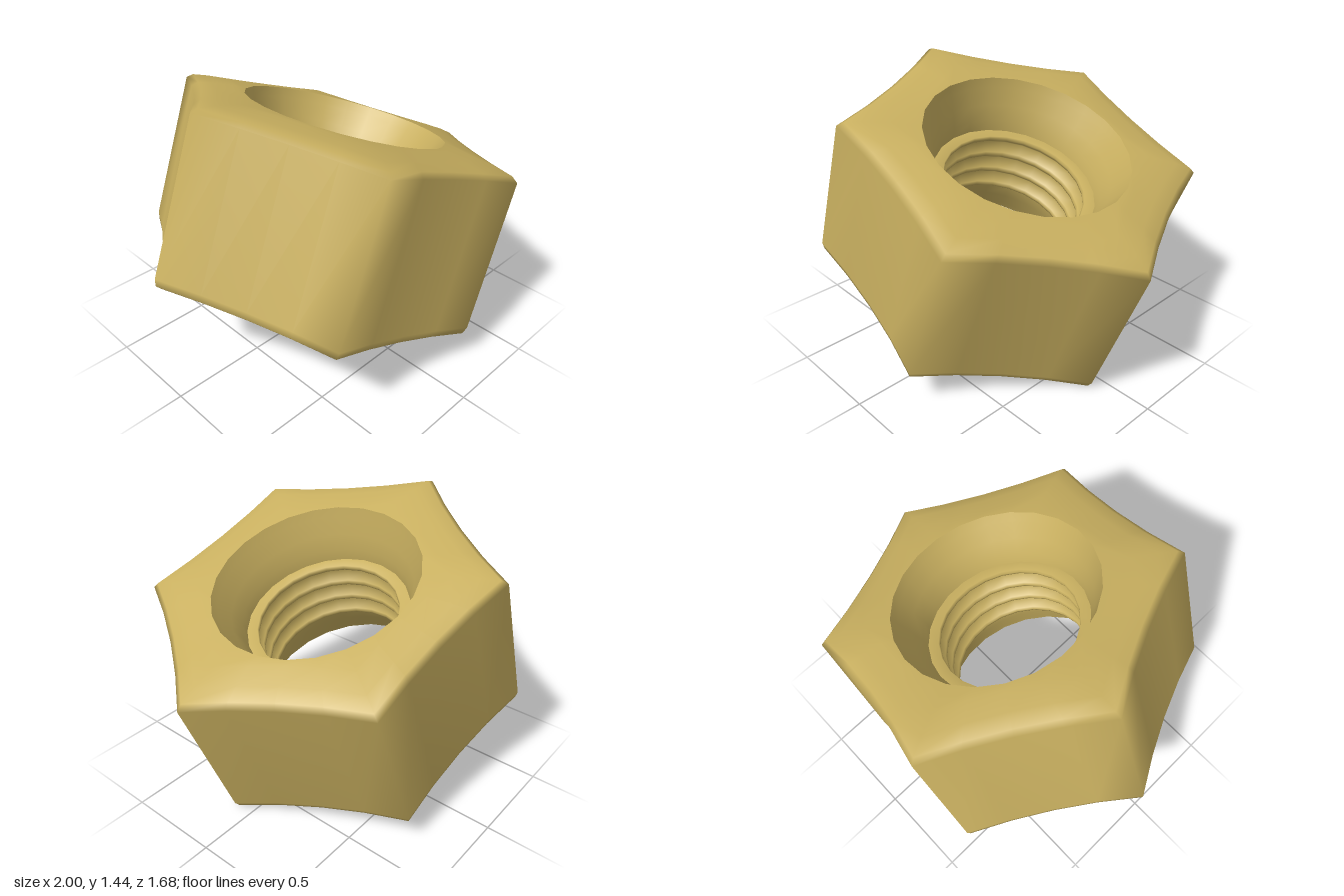
import * as THREE from 'three';

const SEG = 24;               // segments around the nut
const PER_SIDE = SEG / 6;
const CORNER = 0.921;         // centre to corner
const TURN = THREE.MathUtils.degToRad(5.5);
const CENTRE = 0.695;         // mid height along the axis

// point of a slightly hollow-sided hexagon
function hexPoint(j, scale) {
  const side = Math.floor(j / PER_SIDE), t = (j % PER_SIDE) / PER_SIDE;
  const a = TURN + side * Math.PI / 3, b = a + Math.PI / 3, m = (a + b) / 2;
  const pull = 0.03 * 4 * t * (1 - t);
  const x = CORNER * (Math.cos(a) * (1 - t) + Math.cos(b) * t) - pull * Math.cos(m);
  const z = CORNER * (Math.sin(a) * (1 - t) + Math.sin(b) * t) - pull * Math.sin(m);
  return [x * scale, z * scale];
}

function circlePoint(j, radius) {
  const a = TURN + j / SEG * Math.PI * 2;
  return [radius * Math.cos(a), radius * Math.sin(a)];
}

// skin over closed rings [pointFunction, size, height]
function skin(rings) {
  const positions = [], index = [];
  rings.forEach(([point, size, height], i) => {
    for (let j = 0; j < SEG; j++) {
      const [x, z] = point(j, size);
      positions.push(x, height - CENTRE, z);
      if (i === rings.length - 1) continue;
      const a = i * SEG + j, b = i * SEG + (j + 1) % SEG;
      index.push(a, a + SEG, b, b, a + SEG, b + SEG);
    }
  });
  const g = new THREE.BufferGeometry();
  g.setAttribute('position', new THREE.Float32BufferAttribute(positions, 3));
  g.setIndex(index);
  g.computeVertexNormals();
  return g;
}

export function createModel() {
  const model = new THREE.Group();
  model.name = 'hexNut';
  const brass = new THREE.MeshStandardMaterial({ color: 0xc9b060 });
  const add = (name, rings) => {
    const mesh = new THREE.Mesh(skin(rings), brass);
    mesh.name = name;
    model.add(mesh);
  };

  // hexagonal body: underside, small lower bevel, walls, wide upper bevel, top
  add('hexBody', [
    [circlePoint, 0.53, 0.238],
    [hexPoint, 0.94, 0.238],
    [hexPoint, 0.985, 0.257],
    [hexPoint, 1, 0.295],
    [hexPoint, 1, 1.09],
    [hexPoint, 0.965, 1.115],
    [hexPoint, 0.87, 1.133],
    [hexPoint, 0.73, 1.15],
    [circlePoint, 0.53, 1.152],
  ]);

  // flared mouths at both ends of the hole
  const flare = [[0.53, 0.457], [0.51, 0.41], [0.47, 0.32], [0.44, 0.24], [0.43, 0.18]];
  add('upperCountersink', flare.map(([r, h]) => [circlePoint, r, CENTRE + h]));
  add('lowerCountersink', flare.map(([r, h]) => [circlePoint, r, CENTRE - h]).reverse());

  // threaded bore with rounded ridges
  const thread = [[circlePoint, 0.43, CENTRE + 0.18]];
  const pitch = 0.11;
  for (let k = 0; k < 4; k++) {
    const h = CENTRE + (1.5 - k) * pitch;
    if (k > 0) thread.push([circlePoint, 0.42, h + pitch / 2]);
    thread.push([circlePoint, 0.375, h + 0.015], [circlePoint, 0.37, h], [circlePoint, 0.375, h - 0.015]);
  }
  thread.push([circlePoint, 0.43, CENTRE - 0.18]);
  add('threadedBore', thread);

  // the nut rests tilted on one corner
  model.rotation.z = THREE.MathUtils.degToRad(-20.8);
  model.position.set(0, 0.734, 0);
  const root = new THREE.Group();
  root.name = 'tiltedNut';
  root.add(model);
  return root;
}
